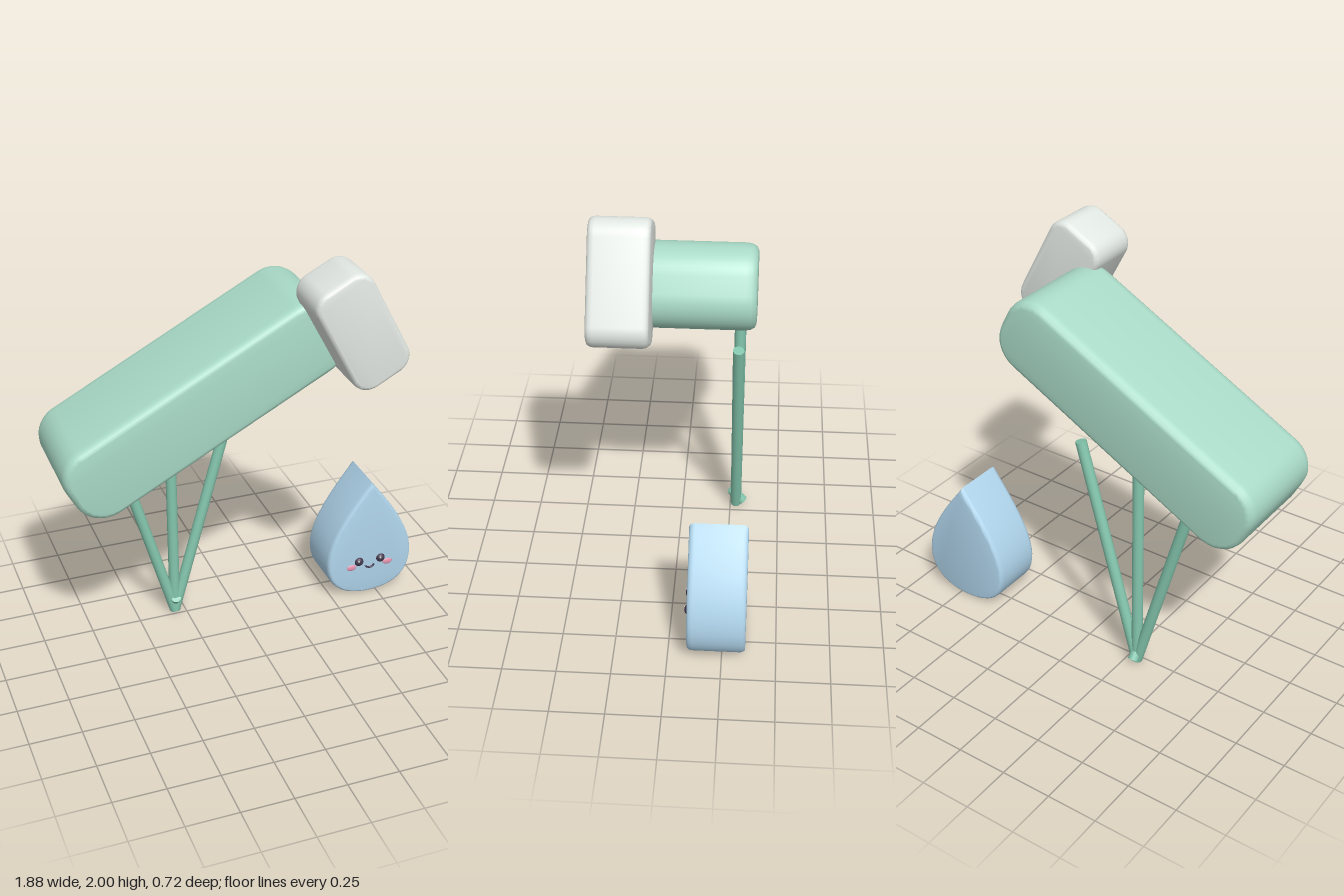
import * as THREE from 'three';
import { mergeVertices, toCreasedNormals } from 'three/addons/utils/BufferGeometryUtils.js';

const TILT = Math.atan2(0.469, 0.883);

const material = (color) => new THREE.MeshStandardMaterial({ color, roughness: 0.8 });

function addMesh(parent, name, geometry, mat, x = 0, y = 0, z = 0) {
  const mesh = new THREE.Mesh(geometry, mat);
  mesh.name = name;
  mesh.position.set(x, y, z);
  parent.add(mesh);
  return mesh;
}

// Extrudes an outline between two depths with softened rims
function softSlab(shape, zBack, zFront, bevel, depthBevel, curveSegments) {
  const geometry = new THREE.ExtrudeGeometry(shape, {
    depth: zFront - zBack - 2 * depthBevel,
    bevelSize: bevel,
    bevelOffset: -bevel,
    bevelThickness: depthBevel,
    bevelSegments: 3,
    curveSegments,
  });
  geometry.translate(0, 0, zBack + depthBevel);
  geometry.deleteAttribute('uv');
  geometry.deleteAttribute('normal');
  return toCreasedNormals(mergeVertices(geometry, 1e-4), 0.9);
}

function roundedRect(w, h, r) {
  const a = w / 2, b = h / 2;
  const shape = new THREE.Shape();
  shape.absarc(a - r, b - r, r, 0, Math.PI / 2);
  shape.absarc(r - a, b - r, r, Math.PI / 2, Math.PI);
  shape.absarc(r - a, r - b, r, Math.PI, Math.PI * 1.5);
  shape.absarc(a - r, r - b, r, Math.PI * 1.5, Math.PI * 2);
  return shape;
}

// Round rod between two points
function addRod(parent, name, from, to, radius, mat) {
  const a = new THREE.Vector3(...from), b = new THREE.Vector3(...to);
  const dir = b.clone().sub(a);
  const rod = addMesh(parent, name, new THREE.CylinderGeometry(radius, radius, dir.length(), 16), mat);
  rod.position.copy(a).add(b).multiplyScalar(0.5);
  rod.quaternion.setFromUnitVectors(new THREE.Vector3(0, 1, 0), dir.normalize());
}

export function createModel() {
  const model = new THREE.Group();
  model.name = 'telescopeAndDroplet';
  const green = material(0xa9dac7), legGreen = material(0x84c6ae);
  const white = material(0xe2e8e3), blue = material(0xb0d5ec);
  const dark = material(0x443a50), pink = material(0xe796b2), glint = material(0xffffff);

  // Tilted tube and the hood at its upper end
  const tube = addMesh(model, 'telescopeTube',
    softSlab(roundedRect(1.455, 0.385, 0.15), -0.36, 0.17, 0.03, 0.05, 6), green, -0.256, 1.356, 0);
  tube.rotation.z = TILT;
  const hood = addMesh(model, 'telescopeHood',
    softSlab(roundedRect(0.3, 0.555, 0.088), 0.09, 0.358, 0.02, 0.03, 6), white, 0.415, 1.718, 0);
  hood.rotation.z = TILT;

  // Fan of three legs meeting at the foot
  const legs = new THREE.Group();
  legs.name = 'tripod';
  model.add(legs);
  for (const [name, dx, top] of [['rightLeg', -0.32, 1.15], ['middleLeg', 0, 1.13], ['leftLeg', 0.32, 1.15]]) {
    addRod(legs, name, [-0.305, 0.015, -0.28], [-0.305 + dx, top, -0.28], 0.027, legGreen);
  }
  addRod(legs, 'footPeg', [-0.305, 0.1, -0.255], [-0.305, 0.03, -0.315], 0.026, legGreen);

  // Droplet body
  const droplet = new THREE.Group();
  droplet.name = 'droplet';
  droplet.position.set(0.705, 0, 0);
  model.add(droplet);
  const drop = new THREE.Shape();
  drop.moveTo(0, 0.662);
  drop.bezierCurveTo(-0.1, 0.53, -0.235, 0.36, -0.235, 0.21);
  drop.bezierCurveTo(-0.235, 0.08, -0.15, 0.006, 0, 0.006);
  drop.bezierCurveTo(0.15, 0.006, 0.235, 0.08, 0.235, 0.21);
  drop.bezierCurveTo(0.235, 0.36, 0.1, 0.53, 0, 0.662);
  addMesh(droplet, 'dropletBody', softSlab(drop, -0.358, -0.09, 0.015, 0.025, 12), blue);

  // Face
  const ball = new THREE.SphereGeometry(1, 20, 14);
  for (const side of [-1, 1]) {
    const eye = addMesh(droplet, 'eye', ball, dark, side * 0.061, 0.205, -0.09);
    eye.scale.set(0.024, 0.024, 0.018);
    const spark = addMesh(droplet, 'eyeGlint', ball, glint, side * 0.061 - 0.007, 0.214, -0.075);
    spark.scale.setScalar(0.005);
    const cheek = addMesh(droplet, 'cheek', ball, pink, side * 0.102, 0.175, -0.09);
    cheek.scale.set(0.027, 0.017, 0.006);
  }
  const smile = addMesh(droplet, 'smile',
    new THREE.TorusGeometry(0.026, 0.005, 8, 16, Math.PI * 0.8), dark, 0, 0.186, -0.088);
  smile.rotation.z = Math.PI * 1.1;

  return model;
}
